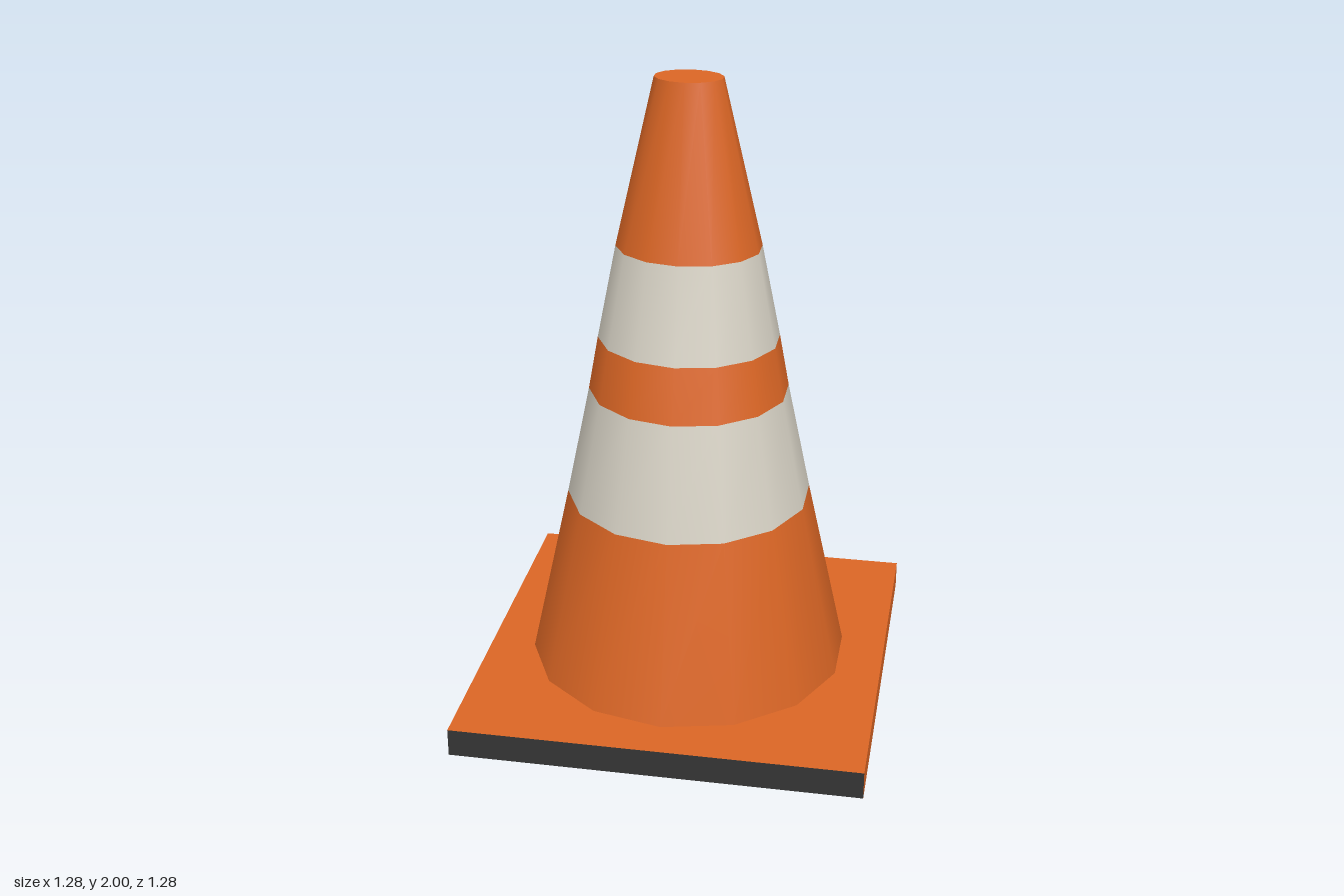
import * as THREE from 'three';

const SIDES = 14;
const BASE_TOP = 0.09;

// Cone rings from bottom to top: [height, radius in x, radius in z]
const RINGS = [
  [BASE_TOP, 0.51, 0.51],
  [0.66, 0.385, 0.386],
  [1.015, 0.312, 0.302],
  [1.185, 0.282, 0.257],
  [1.48, 0.224, 0.188],
  [2, 0.104, 0.076],
];

export function createModel() {
  const orange = new THREE.MeshStandardMaterial({ color: 0xdb6625 });
  orange.name = 'orange';
  const white = new THREE.MeshStandardMaterial({ color: 0xd6d1c4 });
  white.name = 'offWhite';
  const black = new THREE.MeshStandardMaterial({ color: 0x353535 });
  black.name = 'black';

  const model = new THREE.Group();
  model.name = 'trafficCone';
  const add = (name, geometry, material) => {
    const mesh = new THREE.Mesh(geometry, material);
    mesh.name = name;
    model.add(mesh);
    return mesh;
  };

  // Square base: orange on top, left and back, black elsewhere
  const base = new THREE.BoxGeometry(1.28, BASE_TOP, 1.28);
  base.translate(0, BASE_TOP / 2, 0);
  add('base', base, [orange, black, orange, black, black, orange]);

  // Cone skin: shared rings keep the shading smooth across the bands
  const positions = [];
  for (const [y, rx, rz] of RINGS) {
    for (let i = 0; i < SIDES; i++) {
      const a = (i / SIDES) * Math.PI * 2;
      positions.push(Math.sin(a) * rx, y, Math.cos(a) * rz);
    }
  }
  const bandIndex = (band) => {
    const index = [];
    for (let i = 0; i < SIDES; i++) {
      const a = band * SIDES + i;
      const b = band * SIDES + ((i + 1) % SIDES);
      index.push(a, b, b + SIDES, a, b + SIDES, a + SIDES);
    }
    return index;
  };
  const names = ['coneBottom', 'lowerStripe', 'coneMiddle', 'upperStripe', 'coneTop'];
  const skin = new THREE.BufferGeometry();
  skin.setAttribute('position', new THREE.Float32BufferAttribute(positions, 3));
  skin.setIndex(names.flatMap((_, band) => bandIndex(band)));
  skin.computeVertexNormals();

  // One mesh per band, alternating orange and white
  names.forEach((name, band) => {
    const geometry = skin.clone();
    geometry.setIndex(bandIndex(band));
    add(name, geometry, band % 2 ? white : orange);
  });

  // Flat oval cap
  const [topY, topX, topZ] = RINGS[RINGS.length - 1];
  const cap = new THREE.CircleGeometry(1, SIDES, Math.PI / 2);
  cap.rotateX(-Math.PI / 2).scale(topX, 1, topZ).translate(0, topY, 0);
  add('cap', cap, orange);

  return model;
}
